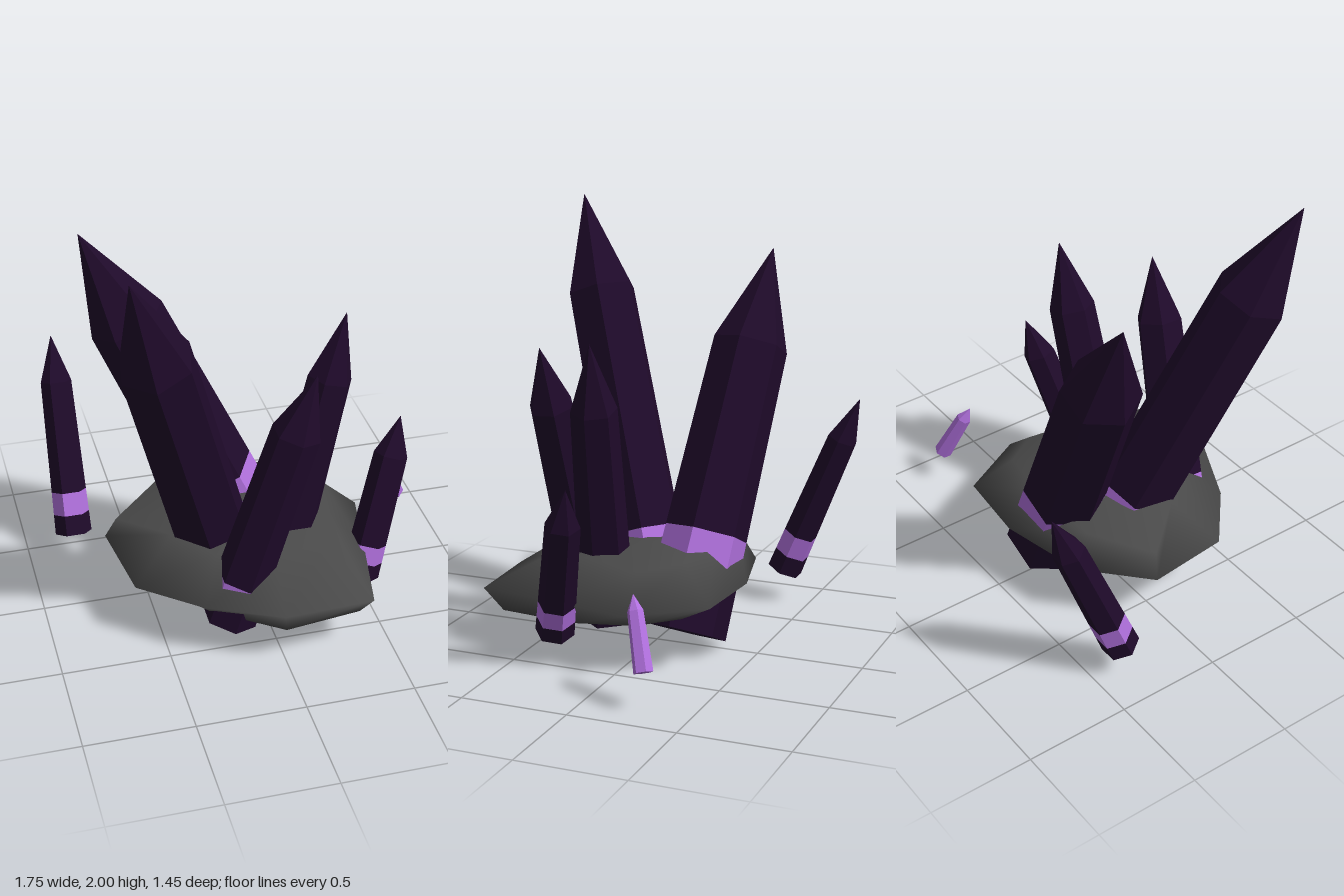
import * as THREE from 'three';

const paint = (name, color, flatShading) => {
  const m = new THREE.MeshStandardMaterial({ color, flatShading });
  m.name = name;
  return m;
};

// Six-sided crystal from base centre to tip: root, band (lo to hi), shaft and point.
function crystal(name, base, tip, rBase, rTop, twist, shoulder, [lo, hi], mats) {
  const a = new THREE.Vector3(...base), b = new THREE.Vector3(...tip);
  const axis = b.clone().sub(a), len = axis.length();
  const g = new THREE.Group();
  g.name = name;
  const radius = t => rBase + (rTop - rBase) * t / shoulder;
  const piece = (part, t0, t1, r0, r1, mat, open) => {
    const geo = r1 === 0
      ? new THREE.ConeGeometry(r0, (t1 - t0) * len, 6, 1, open)
      : new THREE.CylinderGeometry(r1, r0, (t1 - t0) * len, 6, 1, open);
    geo.rotateY(THREE.MathUtils.degToRad(twist));
    geo.translate(0, (t0 + t1) / 2 * len, 0);
    const m = new THREE.Mesh(geo, mat);
    m.name = part;
    g.add(m);
  };
  piece('root', 0, lo, rBase, radius(lo), mats.body, false);
  piece('band', lo, hi, radius(lo), radius(hi), mats.band, true);
  piece('shaft', hi, shoulder, radius(hi), rTop, mats.body, true);
  piece('point', shoulder, 1, rTop, 0, mats.body, true);
  g.position.copy(a);
  g.quaternion.setFromUnitVectors(new THREE.Vector3(0, 1, 0), axis.normalize());
  return g;
}

// Slab lofted through rings, closed by a centre point at each end.
function rock(rings, bottom, top, mat) {
  const n = rings[0].length, pts = [...rings.flat(), bottom, top], idx = [];
  const iBottom = pts.length - 2, iTop = pts.length - 1, last = (rings.length - 1) * n;
  for (let i = 0; i < n; i++) {
    const j = (i + 1) % n;
    idx.push(iBottom, j, i, iTop, last + i, last + j);
    for (let k = 0; k < rings.length - 1; k++) {
      const o = k * n, p = o + n;
      idx.push(o + i, o + j, p + j, o + i, p + j, p + i);
    }
  }
  const geo = new THREE.BufferGeometry();
  geo.setAttribute('position', new THREE.Float32BufferAttribute(pts.flat(), 3));
  geo.setIndex(idx);
  geo.computeVertexNormals();
  const m = new THREE.Mesh(geo, mat);
  m.name = 'rock';
  return m;
}

export function createModel() {
  const model = new THREE.Group();
  model.name = 'crystalCluster';
  const dark = paint('dark purple', 0x1f0a2a, true);
  const violet = paint('violet', 0xb070dd, true);
  const grey = paint('rock grey', 0x4a4a4a, false);
  const banded = { body: dark, band: violet }, plain = { body: violet, band: violet };

  // Rock: underside, rim and upper ring, running from the right side round the front
  const under = [[-0.55, 0.22, -0.05], [-0.5, 0.19, 0.2], [-0.3, 0.18, 0.45], [0, 0.18, 0.67], [0.36, 0.18, 0.62],
    [0.4, 0.18, 0.25], [0.38, 0.2, -0.05], [0.24, 0.21, -0.22], [0, 0.2, -0.25], [-0.25, 0.21, -0.22]];
  const rim = [[-0.68, 0.31, -0.08], [-0.62, 0.29, 0.33], [-0.35, 0.29, 0.56], [-0.02, 0.29, 0.72], [0.4, 0.29, 0.7],
    [0.48, 0.3, 0.3], [0.55, 0.3, -0.06], [0.36, 0.32, -0.4], [-0.01, 0.33, -0.44], [-0.42, 0.32, -0.34]];
  const upper = [[-0.63, 0.42, -0.05], [-0.42, 0.46, 0.2], [-0.25, 0.44, 0.38], [0, 0.45, 0.48], [0.26, 0.45, 0.42],
    [0.32, 0.47, 0.2], [0.38, 0.45, -0.06], [0.25, 0.48, -0.24], [0, 0.48, -0.28], [-0.38, 0.47, -0.26]];
  model.add(rock([under, rim, upper], [0, 0.165, 0.1], [0, 0.48, 0.05], grey));

  // Crystals: name, base, tip, base radius, shoulder radius, twist, shoulder height, band
  const list = [
    ['tallCrystal', [-0.13, 0.12, 0.04], [-0.66, 2, 0.66], 0.188, 0.17, -12, 0.76, [0.09, 0.18]],
    ['backCrystal', [0.07, 0.088, -0.16], [-0.7, 1.78, -0.31], 0.205, 0.18, 30, 0.742, [0.13, 0.25]],
    ['frontCrystal', [-0.21, 0.13, 0.44], [0.17, 1.39, 0.51], 0.13, 0.112, 0, 0.77, [0.09, 0.175]],
    ['middleCrystal', [0.07, 0.12, 0.22], [0.41, 1.475, 0.15], 0.128, 0.106, 30, 0.77, [0.09, 0.19]],
    ['rightFloatingCrystal', [-0.787, 0.16, -0.365], [-0.79, 1.06, -0.73], 0.088, 0.074, 30, 0.77, [0.1, 0.215]],
    ['leftCrystal', [0.46, 0.15, 0.31], [0.69, 0.89, 0.14], 0.09, 0.08, 15, 0.76, [0.095, 0.205]],
  ];
  for (const c of list) model.add(crystal(...c, banded));
  model.add(crystal('shardCrystal', [0.835, 0.175, -0.283], [0.715, 0.475, -0.185], 0.044, 0.036, 10, 0.78, [0.1, 0.2], plain));
  return model;
}
